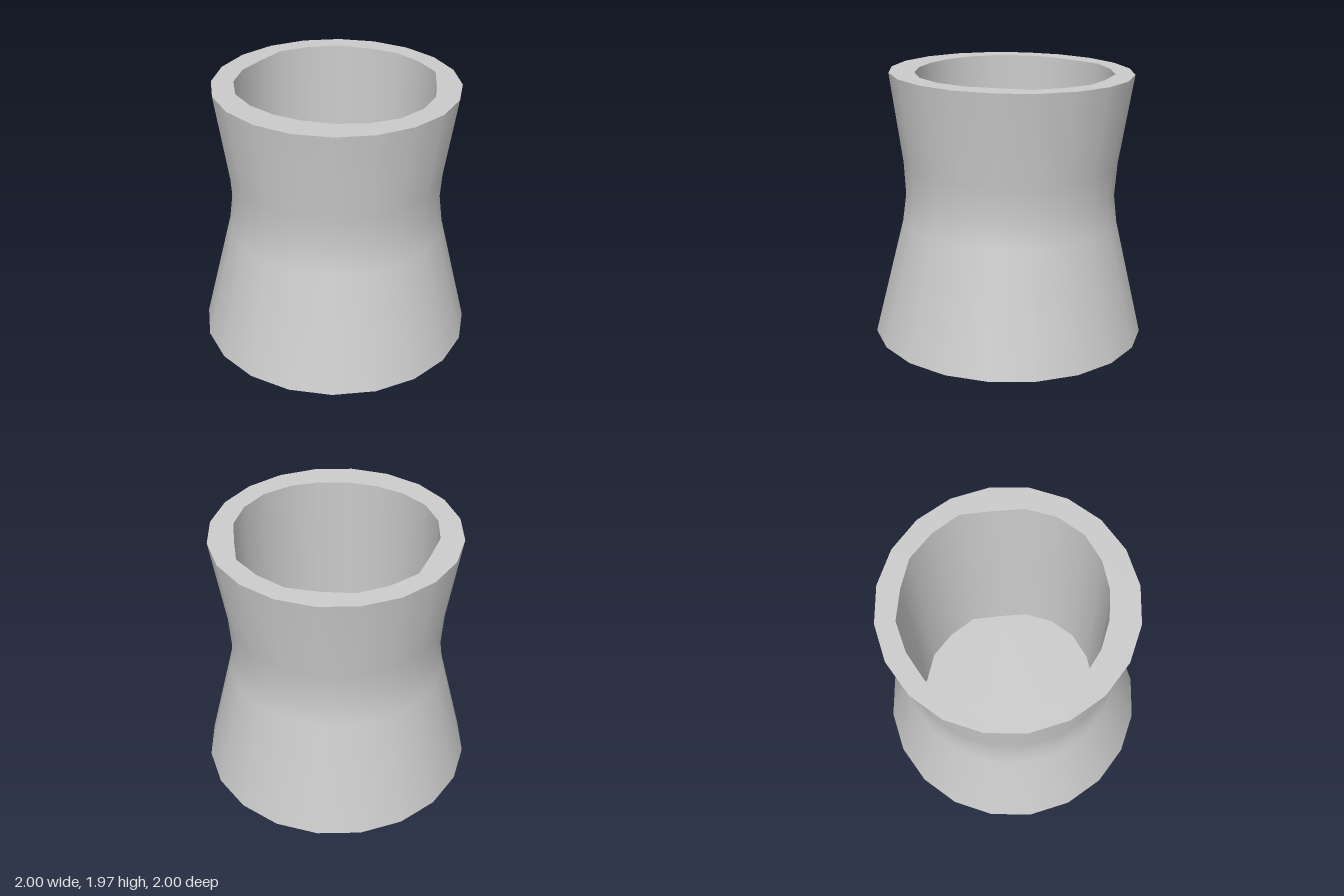
import * as THREE from 'three';

const SIDES = 20;
const HEIGHT = 1.945;
const FLOOR = 0.1;

// Slightly uneven cavity radii, front to back at 18 degree steps, mirrored left to right
const CAVITY = [0.665, 0.674, 0.694, 0.716, 0.718, 0.71, 0.693, 0.737, 0.728, 0.735, 0.715];
const cavityRadius = (i) => CAVITY[i <= SIDES / 2 ? i : SIDES - i];

// Closed outline in plan; after lying flat, step 0 points to the front
function ring(radiusAt) {
  return Array.from({ length: SIDES }, (_, i) => {
    const a = (i / SIDES) * Math.PI * 2;
    return new THREE.Vector2(Math.sin(a) * radiusAt(i), -Math.cos(a) * radiusAt(i));
  });
}

// Flat horizontal face at height y, facing up
function flatFace(shape, y) {
  return new THREE.ShapeGeometry(shape).rotateX(-Math.PI / 2).translate(0, y, 0);
}

export function createModel() {
  const group = new THREE.Group();
  group.name = 'waistedPot';
  const material = new THREE.MeshStandardMaterial({ color: 0xcccccc });
  const body = new THREE.Group();
  body.name = 'potBody';
  const add = (name, geometry) => {
    const mesh = new THREE.Mesh(geometry, material);
    mesh.name = name;
    body.add(mesh);
  };

  // Outer wall, flaring above and below the waist
  const profile = [[1, 0], [0.79, 0.86], [0.765, 1.06], [0.78, 1.3], [0.875, HEIGHT]];
  add('outerWall', new THREE.LatheGeometry(profile.map(([r, y]) => new THREE.Vector2(r, y)), SIDES));

  // Closed underside
  add('base', new THREE.ShapeGeometry(new THREE.Shape(ring(() => 1))).rotateX(Math.PI / 2).scale(1, 1, -1 * -1));

  // Rim between the outer wall and the cavity
  const rim = new THREE.Shape(ring(() => 0.875));
  rim.holes.push(new THREE.Path(ring(cavityRadius)));
  add('rim', flatFace(rim, HEIGHT));

  // Cavity wall: a unit lathe running downward so it faces inward, scaled per column
  const wall = new THREE.LatheGeometry([new THREE.Vector2(1, HEIGHT), new THREE.Vector2(1, FLOOR)], SIDES);
  const p = wall.attributes.position;
  for (let i = 0; i < p.count; i++) {
    const r = cavityRadius(Math.floor(i / 2) % SIDES);
    p.setXYZ(i, p.getX(i) * r, p.getY(i), p.getZ(i) * r);
  }
  add('cavityWall', wall);
  add('cavityFloor', flatFace(new THREE.Shape(ring(cavityRadius)), FLOOR));

  // The whole pot leans back slightly
  body.rotation.x = -0.0155;
  body.position.y = 0.018;
  group.add(body);
  return group;
}
